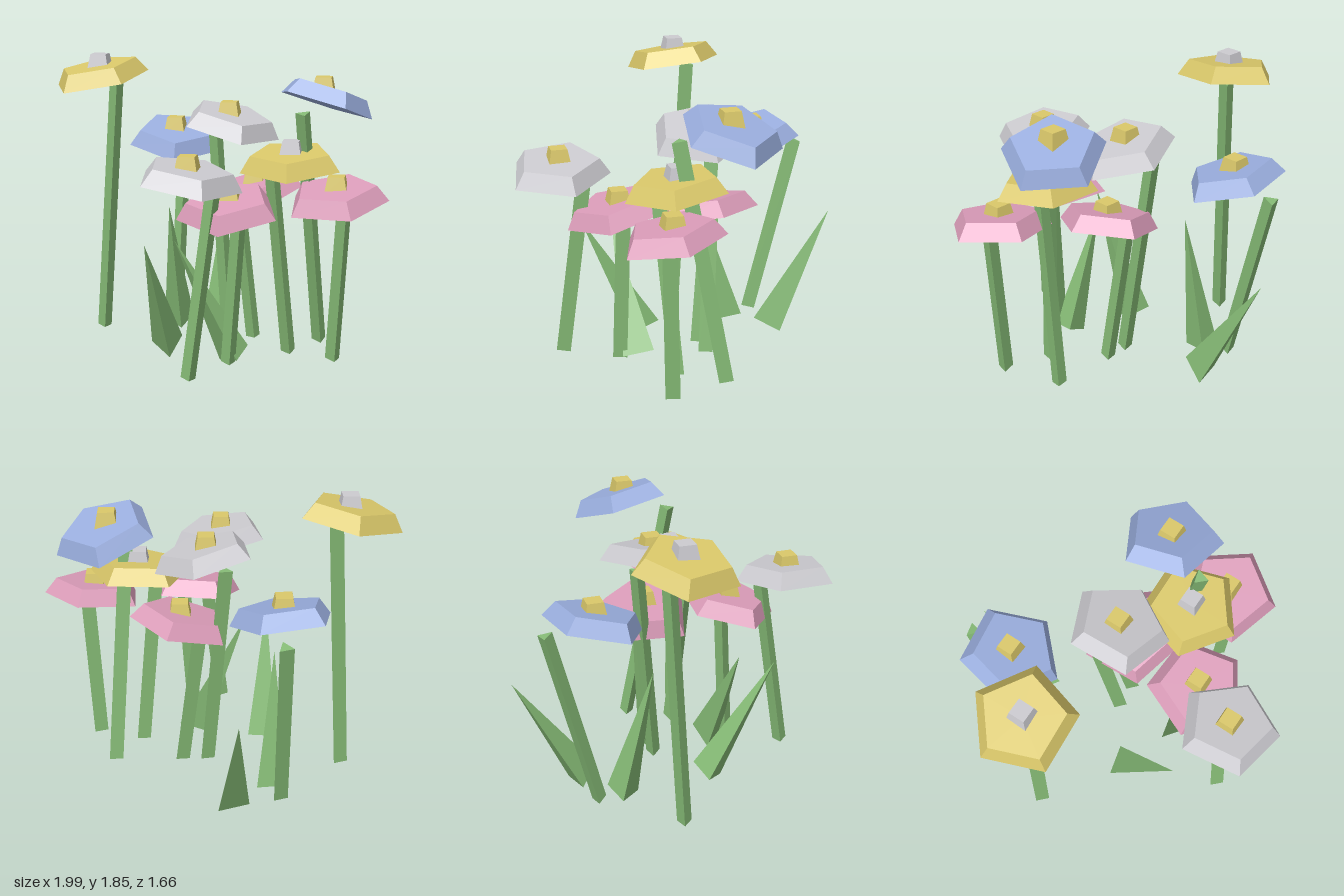
import * as THREE from 'three';

const UP = new THREE.Vector3(0, 1, 0);

function paint(name, color) {
  const m = new THREE.MeshStandardMaterial({ color, flatShading: true });
  m.name = name;
  return m;
}

export function createModel() {
  const green = paint('leaf green', 0x85ba75);
  const yellow = paint('yellow', 0xdac86a);
  const white = paint('white', 0xcccbd0);
  const blue = paint('blue', 0x9aaede);
  const pink = paint('pink', 0xdc9dba);

  const model = new THREE.Group();
  model.name = 'flowerPatch';

  // Three-sided spike or rod standing on its base, leaned from base to tip
  function shoot(name, base, tip, topRadius, bottomRadius) {
    const from = new THREE.Vector3(...base);
    const along = new THREE.Vector3(...tip).sub(from);
    const length = along.length();
    const geo = new THREE.CylinderGeometry(topRadius, bottomRadius, length, 3, 1, false, Math.PI);
    geo.translate(0, length / 2, 0);
    const mesh = new THREE.Mesh(geo, green);
    mesh.name = name;
    mesh.position.copy(from);
    mesh.quaternion.setFromUnitVectors(UP, along.normalize());
    return mesh;
  }

  // Head: tilted five-sided petals with an upright four-sided centre.
  // slope is dy/dx, dy/dz of the head; turn is the angle of one petal corner.
  function flower({ at, slope, turn, stemTop, petal }) {
    const group = new THREE.Group();
    group.name = 'flower';
    const [x, y, z] = at;

    group.add(shoot('stem', [x, 0.06, z], stemTop, 0.051, 0.051));

    const petalGeo = new THREE.CylinderGeometry(0.25, 0.316, 0.1, 5, 1, false,
      THREE.MathUtils.degToRad(90 - turn));
    petalGeo.translate(0, 0.05, 0);
    const petals = new THREE.Mesh(petalGeo, petal);
    petals.name = 'petals';
    petals.position.set(x, y, z);
    petals.quaternion.setFromUnitVectors(UP,
      new THREE.Vector3(-slope[0], 1, -slope[1]).normalize());
    group.add(petals);

    const centre = new THREE.Mesh(new THREE.CylinderGeometry(0.07, 0.096, 0.1, 4),
      petal === yellow ? white : yellow);
    centre.name = 'flowerCentre';
    centre.position.set(x, y + 0.12, z);
    group.add(centre);
    return group;
  }

  const flowers = [
    { at: [-0.677, 1.69, 0.382], slope: [0.05, -0.19], turn: 6, stemTop: [-0.66, 1.7, 0.27], petal: yellow },
    { at: [0.44, 1.223, -0.285], slope: [-0.05, -0.1], turn: 43.5, stemTop: [0.43, 1.22, -0.15], petal: yellow },
    { at: [-0.687, 1.235, -0.2], slope: [-0.25, -0.1], turn: 180, stemTop: [-0.89, 1.22, -0.41], petal: blue },
    { at: [0.372, 1.58, -0.59], slope: [-0.05, 0.35], turn: 88, stemTop: [0.495, 1.56, -0.33], petal: blue },
    { at: [-0.033, 1.415, -0.168], slope: [-0.23, 0.1], turn: 94, stemTop: [-0.2, 1.41, -0.18], petal: white },
    { at: [0.495, 1.223, 0.507], slope: [-0.13, 0.08], turn: 91, stemTop: [0.5, 1.24, 0.32], petal: white },
    { at: [0.398, 0.993, 0.147], slope: [-0.12, -0.2], turn: 48, stemTop: [0.43, 1.0, 0.09], petal: pink },
    { at: [0.714, 1.035, -0.414], slope: [-0.045, -0.17], turn: 25, stemTop: [0.775, 1.01, -0.43], petal: pink },
    { at: [0.075, 0.985, -0.285], slope: [0.1, -0.245], turn: 24, stemTop: [-0.05, 0.98, -0.25], petal: pink },
  ];
  flowers.forEach((f) => model.add(flower(f)));

  // Pointed leaves: base, tip
  const leaves = [
    [[-0.5, 0.06, -0.43], [-0.82, 0.8, -0.71]],
    [[-0.53, 0.045, -0.12], [-0.41, 0.87, 0.04]],
    [[-0.1, 0.06, 0.26], [0.155, 0.81, 0.59]],
    [[0.33, 0.07, 0.05], [0.135, 0.8, 0.36]],
  ];
  leaves.forEach(([base, tip]) => model.add(shoot('leaf', base, tip, 0, 0.113)));

  return model;
}
